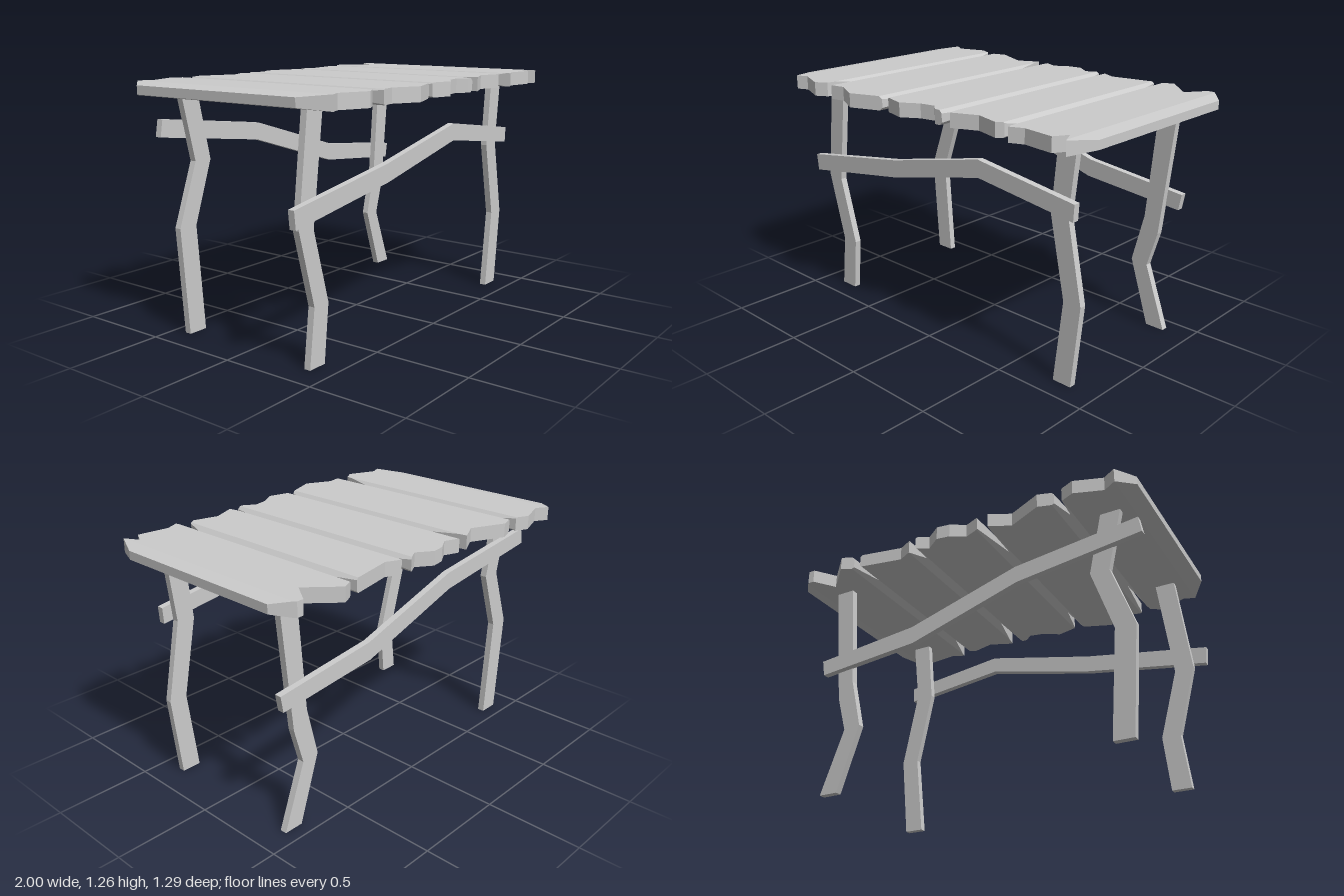
import * as THREE from 'three';

const material = new THREE.MeshStandardMaterial({ color: 0xcccccc, flatShading: true, side: THREE.DoubleSide });

// Flat bent board: two matching edge lines in x/y, extruded from z0 to z1
function board(name, edgeA, edgeB, z0, z1) {
  const outline = [...edgeA, ...edgeB.slice().reverse()].map(([x, y]) => new THREE.Vector2(x, y));
  const geometry = new THREE.ExtrudeGeometry(new THREE.Shape(outline), { depth: z1 - z0, bevelEnabled: false });
  geometry.translate(0, 0, z0);
  const mesh = new THREE.Mesh(geometry, material);
  mesh.name = name;
  return mesh;
}

// Linear reading of z along a ragged edge
function edgeAt(points, x) {
  for (let i = 1; i < points.length; i++) {
    const [x0, z0] = points[i - 1], [x1, z1] = points[i];
    if (x <= x1) return z0 + (z1 - z0) * (x - x0) / (x1 - x0);
  }
  return points[points.length - 1][1];
}

// Plank: cross-sections stepped along x, thinned towards both long edges
function plank(front, back, index, last) {
  const x0 = front[0][0], x1 = front[front.length - 1][0];
  const leftRim = index === 0, rightRim = index === last;
  const leftBevel = leftRim ? 0.08 : 0.03, rightBevel = rightRim ? 0.07 : 0.03;
  const stations = [...front, ...back].map((p) => p[0]);
  stations.push(x0 + leftBevel, x1 - rightBevel);
  const xs = [...new Set(stations)].sort((a, b) => a - b);
  const half = (x) => {
    const a = THREE.MathUtils.lerp(leftRim ? 0.022 : 0.008, 0.036, Math.min(1, (x - x0) / leftBevel));
    const b = THREE.MathUtils.lerp(rightRim ? 0.022 : 0.008, 0.036, Math.min(1, (x1 - x) / rightBevel));
    return Math.min(a, b);
  };
  const positions = [], indices = [];
  xs.forEach((x) => {
    const h = half(x), zf = edgeAt(front, x), zb = edgeAt(back, x), y = 1.225;
    positions.push(x, y + h, zb, x, y + h, zf, x, y - h, zf, x, y - h, zb);
  });
  for (let i = 0; i < xs.length - 1; i++) {
    for (let j = 0; j < 4; j++) {
      const a = i * 4 + j, b = i * 4 + (j + 1) % 4;
      indices.push(a, b, b + 4, a, b + 4, a + 4);
    }
  }
  const e = (xs.length - 1) * 4;
  indices.push(0, 3, 2, 0, 2, 1, e, e + 1, e + 2, e, e + 2, e + 3);
  const geometry = new THREE.BufferGeometry();
  geometry.setAttribute('position', new THREE.Float32BufferAttribute(positions, 3));
  geometry.setIndex(indices);
  geometry.computeVertexNormals();
  const mesh = new THREE.Mesh(geometry, material);
  mesh.name = 'plank' + (index + 1);
  return mesh;
}

// Ragged plank ends as [x, z]
const frontEnds = [
  [[-1, .44], [-.92, .575], [-.86, .55], [-.71, .61], [-.65, .575], [-.615, .31]],
  [[-.615, .31], [-.59, .595], [-.51, .58], [-.375, .645], [-.205, .58], [-.19, .42]],
  [[-.19, .42], [-.165, .575], [-.05, .605], [.04, .55], [.12, .535], [.165, .575], [.21, .575], [.225, .35]],
  [[.225, .35], [.265, .575], [.395, .52], [.525, .555], [.56, .53], [.585, .41]],
  [[.585, .41], [.62, .575], [.69, .545], [.855, .565], [.895, .495], [.935, .57], [1, .43]],
];
const backEnds = [
  [[-1, -.55], [-.92, -.64], [-.855, -.6], [-.71, -.65], [-.64, -.62], [-.615, -.46]],
  [[-.615, -.46], [-.595, -.61], [-.515, -.635], [-.335, -.555], [-.225, -.61], [-.19, -.31]],
  [[-.19, -.31], [-.165, -.61], [-.085, -.58], [-.01, -.625], [.06, -.635], [.14, -.58], [.205, -.615], [.225, -.47]],
  [[.225, -.47], [.255, -.6], [.33, -.565], [.565, -.61], [.585, -.41]],
  [[.585, -.41], [.605, -.61], [.67, -.64], [.81, -.505], [.885, -.61], [.92, -.61], [1, -.52]],
];

export function createModel() {
  const model = new THREE.Group();
  model.name = 'rusticTable';

  const top = new THREE.Group();
  top.name = 'tableTop';
  frontEnds.forEach((front, i) => top.add(plank(front, backEnds[i], i, frontEnds.length - 1)));
  model.add(top);

  // Crooked legs: left and right edge lines from foot to top
  model.add(board('frontRightLeg',
    [[-.865, 0], [-.83, .29], [-.93, .66], [-.865, 1.2]],
    [[-.76, 0], [-.73, .29], [-.83, .65], [-.76, 1.2]], 0.355, 0.39));
  model.add(board('frontLeftLeg',
    [[.75, 0], [.8, .43], [.715, .84], [.75, 1.2]],
    [[.855, 0], [.9, .43], [.815, .85], [.855, 1.2]], 0.355, 0.39));
  model.add(board('backRightLeg',
    [[-.865, 0], [-.905, .55], [-.79, .87], [-.865, 1.2]],
    [[-.76, 0], [-.8, .55], [-.69, .87], [-.76, 1.2]], -0.428, -0.392));
  model.add(board('backLeftLeg',
    [[.75, 0], [.635, .35], [.7, .61], [.75, 1.2]],
    [[.855, 0], [.73, .34], [.785, .53], [.855, 1.2]], -0.428, -0.392));

  // Bent braces nailed to the outside of each pair of legs
  model.add(board('frontBrace',
    [[-.99, .68], [-.31, .785], [.29, .92], [.87, .845]],
    [[-1, .77], [-.32, .877], [.29, 1.01], [.875, .93]], 0.39, 0.425));
  model.add(board('backBrace',
    [[-.975, 1.005], [-.31, .92], [.3, .73], [.875, .675]],
    [[-.96, 1.09], [-.3, 1.01], [.31, .825], [.89, .76]], -0.46, -0.425));

  return model;
}
